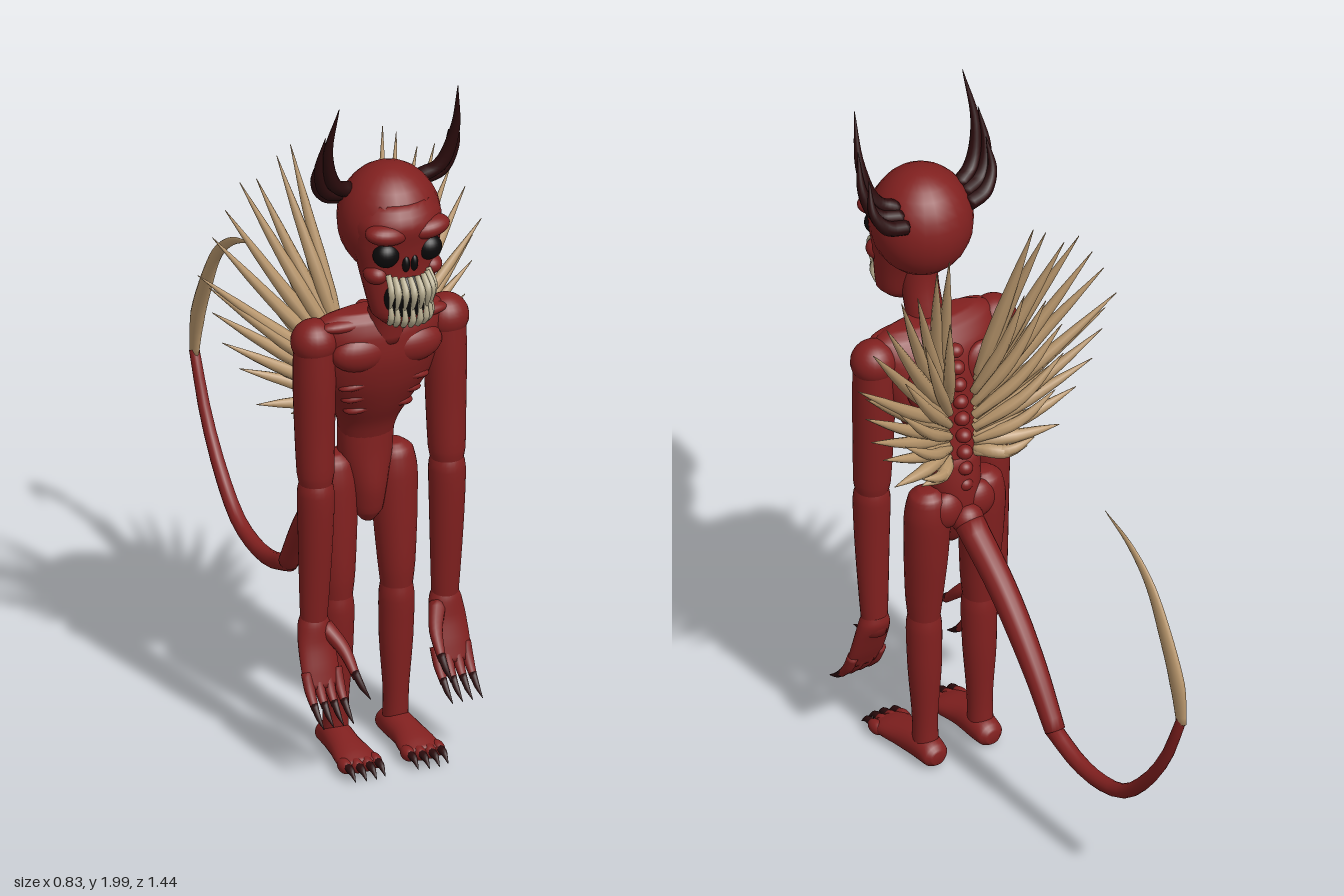
import * as THREE from 'three';

const mat = (name, color) => Object.assign(new THREE.MeshStandardMaterial({ color }), { name });
const V = (x, y, z) => new THREE.Vector3(x, y, z);

// closed skin over rings of points that run counter-clockwise about the path
function skin(rings) {
  const n = rings[0].length, pos = [], idx = [];
  const mid = r => r.reduce((a, p) => a.add(p), V(0, 0, 0)).divideScalar(n);
  const cap = r => r.map(() => mid(r));
  const all = [cap(rings[0]), ...rings, cap(rings[rings.length - 1])];
  all.forEach(r => r.forEach(p => pos.push(p.x, p.y, p.z)));
  for (let i = 0; i < all.length - 1; i++) for (let j = 0; j < n; j++) {
    const a = i * n + j, b = i * n + (j + 1) % n;
    idx.push(a, b, b + n, a, b + n, a + n);
  }
  const g = new THREE.BufferGeometry();
  g.setAttribute('position', new THREE.Float32BufferAttribute(pos, 3));
  g.setIndex(idx);
  g.computeVertexNormals();
  return g;
}

// smooth loft of ellipses: rows are [x, y, z, r1, r2], ascending along the axis
function loft(rows, axis = 'y', sides = 24) {
  const c = new THREE.CatmullRomCurve3(rows.map(r => V(r[0], r[1], r[2])));
  const rad = new THREE.CatmullRomCurve3(rows.map(r => V(r[3], r[4], 0)));
  const rings = [], steps = (rows.length - 1) * 4;
  for (let i = 0; i <= steps; i++) {
    const p = c.getPoint(i / steps), r = rad.getPoint(i / steps), ring = [];
    for (let j = 0; j < sides; j++) {
      const a = j / sides * Math.PI * 2, u = r.x * Math.cos(a), v = r.y * Math.sin(a);
      ring.push(axis === 'y' ? V(p.x + u, p.y, p.z - v) : V(p.x + u, p.y + v, p.z));
    }
    rings.push(ring);
  }
  return skin(rings);
}

// tapered tube along points; radii are spread evenly along it, squash thins it sideways
function sweep(points, radii, steps = 14, sides = 10, squash = 1) {
  const c = new THREE.CatmullRomCurve3(points.map(p => V(...p)));
  const f = c.computeFrenetFrames(steps), rings = [];
  for (let i = 0; i <= steps; i++) {
    const t = i / steps * (radii.length - 1), k = Math.min(Math.floor(t), radii.length - 2);
    const r = radii[k] + (radii[k + 1] - radii[k]) * (t - k), p = c.getPoint(i / steps), ring = [];
    for (let j = 0; j < sides; j++) {
      const a = j / sides * Math.PI * 2;
      ring.push(p.clone().addScaledVector(f.normals[i], r * squash * Math.cos(a))
        .addScaledVector(f.binormals[i], r * Math.sin(a)));
    }
    rings.push(ring);
  }
  return skin(rings);
}

export function createModel() {
  const red = mat('redSkin', 0x81201f), horn = mat('darkHorn', 0x2a0b0c), black = mat('black', 0x0b090a);
  const bone = mat('bone', 0xb8966c), ivory = mat('ivory', 0xb5ab8e);
  const root = new THREE.Group();
  root.name = 'demon';
  root.position.x = 0.02;
  const add = (name, geo, m) => {
    const mesh = new THREE.Mesh(geo, m);
    mesh.name = name;
    root.add(mesh);
    return mesh;
  };
  const ball = (name, m, p, s) => {
    const b = add(name, new THREE.SphereGeometry(1, 24, 16), m);
    b.position.set(...p);
    b.scale.set(...s);
    return b;
  };

  // torso, pelvis and neck
  add('torso', loft([[0, 0.9, 0.38, 0.07, 0.055], [0, 0.97, 0.395, 0.085, 0.065], [0, 1.04, 0.42, 0.115, 0.08],
    [0, 1.12, 0.44, 0.16, 0.096], [0, 1.2, 0.455, 0.18, 0.1], [0, 1.27, 0.465, 0.188, 0.088],
    [0, 1.315, 0.475, 0.18, 0.062], [0, 1.335, 0.48, 0.13, 0.035]], 'y', 32), red);
  add('pelvis', loft([[0, 0.67, 0.395, 0.018, 0.02], [0, 0.7, 0.39, 0.042, 0.045], [0, 0.78, 0.38, 0.058, 0.07],
    [0, 0.87, 0.378, 0.075, 0.068], [0, 0.96, 0.385, 0.08, 0.06]]), red);
  add('neck', loft([[0, 1.25, 0.5, 0.055, 0.055], [0, 1.33, 0.515, 0.052, 0.052],
    [0, 1.42, 0.54, 0.05, 0.055], [0, 1.52, 0.55, 0.055, 0.06]]), red);
  for (let i = 0; i < 9; i++) {
    const y = 0.88 + i * 0.05;
    ball('vertebra', red, [0, y, 0.325 + Math.max(0, y - 1.0) * 0.16], [0.022, 0.02, 0.022]);
  }

  // head, face and mouth
  ball('cranium', red, [0, 1.615, 0.53], [0.14, 0.157, 0.142]);
  add('face', loft([[0, 1.35, 0.607, 0.055, 0.045], [0, 1.38, 0.604, 0.085, 0.065], [0, 1.45, 0.592, 0.1, 0.072],
    [0, 1.52, 0.578, 0.112, 0.085], [0, 1.58, 0.57, 0.125, 0.1], [0, 1.64, 0.573, 0.125, 0.108],
    [0, 1.7, 0.56, 0.1, 0.09]]), red);
  ball('mouth', black, [0, 1.435, 0.635], [0.07, 0.07, 0.055]);
  for (let i = 0; i < 8; i++) {
    const a = (i - 3.5) * 0.34, x = Math.sin(a) * 0.066, z = 0.645 + Math.cos(a) * 0.055;
    add('upperTooth', sweep([[x * 0.95, 1.505, z - 0.015], [x, 1.47, z + 0.015], [x, 1.405, z]],
      [0.008, 0.011, 0.002], 8, 8), ivory);
    add('lowerTooth', sweep([[x * 0.9, 1.365, z - 0.012], [x * 0.95, 1.39, z + 0.005], [x * 0.97, 1.45, z - 0.004]],
      [0.008, 0.01, 0.002], 8, 8), ivory);
  }

  // bone spines: [tip x, tip y]
  const spineTips = [[0.135, 1.71], [0.175, 1.685], [0.235, 1.63], [0.285, 1.63], [0.33, 1.56], [0.37, 1.49],
    [0.415, 1.39], [0.385, 1.35], [0.38, 1.28], [0.355, 1.19], [0.31, 1.11], [0.265, 1.0], [0.17, 0.96]];

  for (const s of [1, -1]) {
    // eyes, brow, cheek, nostril
    ball('eye', black, [s * 0.062, 1.565, 0.645], [0.037, 0.036, 0.032]);
    const brow = ball('brow', red, [s * 0.06, 1.625, 0.645], [0.062, 0.03, 0.042]);
    brow.rotation.z = s * 0.12;
    ball('cheek', red, [s * 0.078, 1.5, 0.615], [0.034, 0.028, 0.038]);
    ball('nostril', black, [s * 0.012, 1.535, 0.66], [0.011, 0.024, 0.014]);

    // horns
    [[[0.1, 1.7, 0.5], [0.155, 1.735, 0.52], [0.185, 1.84, 0.545], [0.174, 1.99, 0.59]],
      [[0.1, 1.685, 0.48], [0.165, 1.705, 0.495], [0.198, 1.78, 0.515], [0.193, 1.89, 0.545]],
      [[0.1, 1.665, 0.455], [0.155, 1.68, 0.46], [0.19, 1.73, 0.475], [0.188, 1.82, 0.5]]]
      .forEach(p => add('horn', sweep(p.map(([x, y, z]) => [s * x, y, z]), [0.022, 0.021, 0.014, 0.001], 18), horn));

    // chest, ribs and collar
    ball('chestMuscle', red, [s * 0.075, 1.225, 0.515], [0.085, 0.055, 0.045]);
    ball('collarbone', red, [s * 0.1, 1.305, 0.5], [0.085, 0.02, 0.03]);
    for (let i = 0; i < 3; i++) {
      const rib = ball('rib', red, [s * (0.065 - i * 0.008), 1.13 - i * 0.045, 0.495 - i * 0.018], [0.068 - i * 0.008, 0.017, 0.034]);
      rib.rotation.z = s * -0.2;
    }
    ball('shoulderBlade', red, [s * 0.09, 1.2, 0.375], [0.06, 0.075, 0.03]);

    // arm
    const ax = s * 0.192;
    ball('shoulder', red, [ax, 1.262, 0.472], [0.064, 0.062, 0.062]);
    add('upperArm', loft([[ax, 0.83, 0.482, 0.04, 0.042], [ax, 0.88, 0.48, 0.05, 0.052], [ax, 1.0, 0.475, 0.054, 0.056],
      [ax, 1.15, 0.472, 0.057, 0.06], [ax, 1.28, 0.472, 0.055, 0.056]]), red);
    add('forearm', loft([[ax, 0.4, 0.467, 0.034, 0.03], [ax, 0.5, 0.472, 0.04, 0.036], [ax, 0.68, 0.48, 0.047, 0.046],
      [ax, 0.82, 0.482, 0.05, 0.052], [ax, 0.88, 0.48, 0.035, 0.038]]), red);

    // hand with clawed fingers
    add('palm', loft([[ax, 0.27, 0.527, 0.05, 0.014], [ax, 0.32, 0.507, 0.054, 0.022], [ax, 0.38, 0.485, 0.052, 0.028],
      [ax, 0.43, 0.47, 0.045, 0.036], [ax, 0.46, 0.467, 0.034, 0.03]]), red);
    for (let i = 0; i < 4; i++) {
      const x = s * (0.232 - i * 0.029);
      add('finger', sweep([[x, 0.31, 0.51], [x, 0.265, 0.532], [x, 0.225, 0.565]], [0.016, 0.015, 0.01], 8), red);
      add('fingerClaw', sweep([[x, 0.235, 0.558], [x, 0.21, 0.585], [x, 0.19, 0.62]], [0.011, 0.008, 0.001], 8, 8), horn);
    }
    add('thumb', sweep([[s * 0.165, 0.42, 0.48], [s * 0.135, 0.37, 0.535], [s * 0.125, 0.31, 0.597]], [0.024, 0.019, 0.011], 10), red);
    add('thumbClaw', sweep([[s * 0.126, 0.322, 0.588], [s * 0.123, 0.297, 0.625], [s * 0.12, 0.28, 0.672]], [0.012, 0.009, 0.001], 8, 8), horn);

    // leg
    const lx = s * 0.088;
    add('thigh', loft([[lx, 0.43, 0.388, 0.04, 0.042], [lx, 0.52, 0.387, 0.05, 0.052], [lx, 0.66, 0.378, 0.06, 0.06],
      [lx, 0.78, 0.372, 0.064, 0.062], [lx, 0.85, 0.37, 0.052, 0.052], [lx, 0.872, 0.37, 0.025, 0.025]]), red);
    add('shin', loft([[lx, 0.04, 0.38, 0.035, 0.036], [lx, 0.12, 0.383, 0.034, 0.036], [lx, 0.3, 0.385, 0.046, 0.046],
      [lx, 0.42, 0.388, 0.048, 0.05], [lx, 0.48, 0.388, 0.04, 0.042]]), red);
    ball('buttock', red, [s * 0.05, 0.81, 0.335], [0.05, 0.055, 0.035]);

    // foot with clawed toes
    const fx = s * 0.092;
    add('foot', loft([[lx, 0.035, 0.318, 0.02, 0.018], [lx, 0.038, 0.335, 0.038, 0.034], [lx, 0.044, 0.385, 0.043, 0.042],
      [fx, 0.04, 0.45, 0.046, 0.037], [fx, 0.033, 0.52, 0.056, 0.028], [fx, 0.028, 0.56, 0.05, 0.018]], 'z'), red);
    for (let i = 0; i < 4; i++) {
      const k = i - 1.5, x = fx + k * 0.029, z = 0.555 - Math.abs(k) * 0.008;
      ball('toe', red, [x, 0.03, z], [0.018, 0.02, 0.03]);
      add('toeClaw', sweep([[x, 0.034, z + 0.012], [x, 0.032, z + 0.04], [x, 0.012, z + 0.068]], [0.012, 0.01, 0.001], 8, 8), horn);
    }

    // fan of back spines
    spineTips.forEach(([x, y], i) => {
      const t = i / (spineTips.length - 1), by = 1.2 - 0.23 * t, bx = 0.055 - 0.015 * t;
      const tz = 0.2 + 0.08 * t * t, k = i % 2 * 0.012;
      add('backSpine', sweep([[s * bx, by, 0.345], [s * (bx + (x - bx) * 0.45), by + (y - by) * 0.42, 0.285 + k], [s * x, y, tz]],
        [0.012, 0.02, 0.019, 0.012, 0.001], 12, 8), bone);
      if (i % 2) add('shortBackSpine', sweep([[s * 0.04, by - 0.03, 0.34],
        [s * (0.04 + (x - 0.04) * 0.32), by - 0.02 + (y - by) * 0.28, 0.275], [s * x * 0.68, by + (y - by) * 0.62, 0.215 + 0.05 * t]],
        [0.012, 0.018, 0.013, 0.001], 10, 8), bone);
    });
  }

  // tail and its blade
  ball('tailRoot', red, [0, 0.775, 0.315], [0.045, 0.045, 0.045]);
  add('tailBase', sweep([[0, 0.765, 0.3], [0, 0.635, 0.14], [0, 0.475, 0], [0, 0.325, -0.1]], [0.042, 0.037, 0.028], 16, 16), red);
  add('tailEnd', sweep([[0, 0.325, -0.09], [0, 0.285, -0.205], [0, 0.28, -0.31], [0, 0.31, -0.42], [0, 0.395, -0.52],
    [0, 0.53, -0.62], [0, 0.69, -0.693]], [0.024, 0.022, 0.019, 0.014], 14, 14), red);
  add('tailBlade', sweep([[0, 0.68, -0.693], [0, 0.79, -0.675], [0, 0.92, -0.618], [0, 1.04, -0.545],
    [0, 1.115, -0.45], [0, 1.16, -0.335]], [0.02, 0.031, 0.027, 0.019, 0.011, 0.001], 24, 12, 0.5), bone);
  return root;
}
